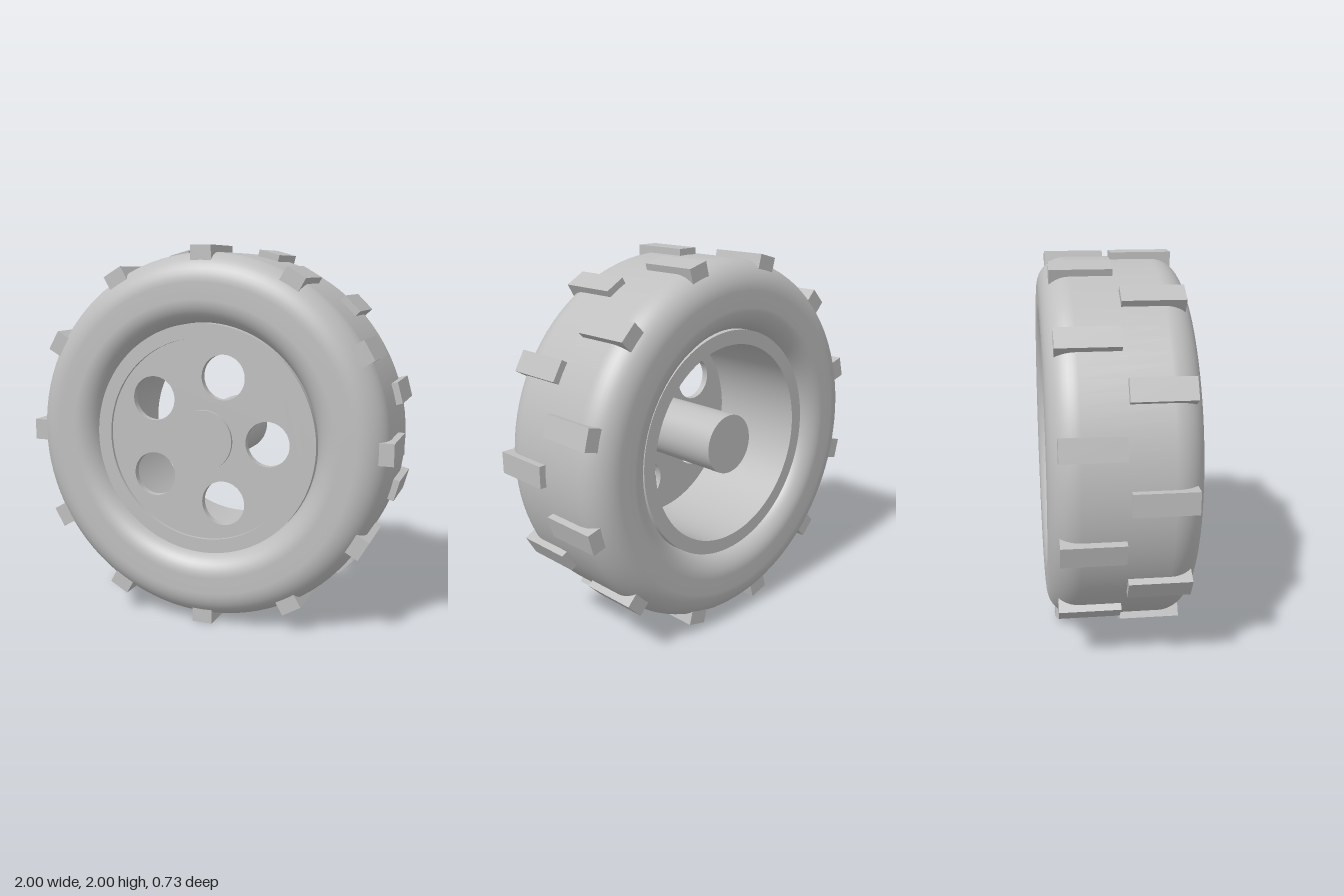
import * as THREE from 'three';
import { toCreasedNormals } from 'three/addons/utils/BufferGeometryUtils.js';

const grey = new THREE.MeshStandardMaterial({ color: 0xbfbfbf });
grey.name = 'grey';

function add(parent, name, geometry) {
  const mesh = new THREE.Mesh(geometry, grey);
  mesh.name = name;
  parent.add(mesh);
  return mesh;
}

// Circle of radius r as a shape, pierced by holes given as [x, y, radius]
function plate(r, holes, z0, z1) {
  const shape = new THREE.Shape().absarc(0, 0, r, 0, Math.PI * 2);
  for (const [x, y, h] of holes) shape.holes.push(new THREE.Path().absarc(x, y, h, 0, Math.PI * 2, true));
  const geo = new THREE.ExtrudeGeometry(shape, { depth: z1 - z0, bevelEnabled: false, curveSegments: 64 });
  geo.translate(0, 0, z0);
  return toCreasedNormals(geo, Math.PI / 5);
}

// Tyre cross-section: four rounded corners joined by straight runs
function tyreGeometry() {
  const half = 0.365, outer = 0.967, inner = 0.61, lip = 0.12, shoulder = 0.15, steps = 10;
  const corners = [
    [inner + lip, lip - half, lip, Math.PI],
    [outer - shoulder, shoulder - half, shoulder, Math.PI * 1.5],
    [outer - shoulder, half - shoulder, shoulder, 0],
    [inner + lip, half - lip, lip, Math.PI / 2],
  ];
  const points = [];
  for (const [r, z, radius, start] of corners) {
    for (let i = 0; i <= steps; i++) {
      const a = start + (i / steps) * Math.PI / 2;
      points.push(new THREE.Vector2(r + radius * Math.cos(a), z + radius * Math.sin(a)));
    }
  }
  return new THREE.LatheGeometry(points, 96).rotateX(Math.PI / 2);
}

export function createModel() {
  const model = new THREE.Group();
  model.name = 'wheel';
  const wheel = new THREE.Group();
  wheel.name = 'wheelAssembly';
  wheel.position.y = 1;
  model.add(wheel);

  add(wheel, 'tyre', tyreGeometry());

  // Rim barrel, open at the back
  add(wheel, 'rim', plate(0.61, [[0, 0, 0.535]], -0.3, 0.3));

  // Front disc with five round openings
  const holes = [];
  for (let i = 0; i < 5; i++) {
    const a = (i * Math.PI * 2) / 5;
    holes.push([0.35 * Math.cos(a), 0.35 * Math.sin(a), 0.118]);
  }
  add(wheel, 'disc', plate(0.536, holes, 0.245, 0.283));

  // Central axle running the full depth of the rim
  add(wheel, 'axle', new THREE.CylinderGeometry(0.16, 0.16, 0.6, 64).rotateX(Math.PI / 2));

  // Two staggered rows of tread blocks
  const treads = new THREE.Group();
  treads.name = 'treads';
  wheel.add(treads);
  const block = new THREE.BoxGeometry(0.09, 0.113, 0.31).translate(0.955, 0, 0);
  for (let i = 0; i < 24; i++) {
    const tread = add(treads, 'treadBlock', block);
    tread.rotation.z = (i * Math.PI) / 12;
    tread.position.z = i % 2 ? -0.163 : 0.163;
  }
  return model;
}
